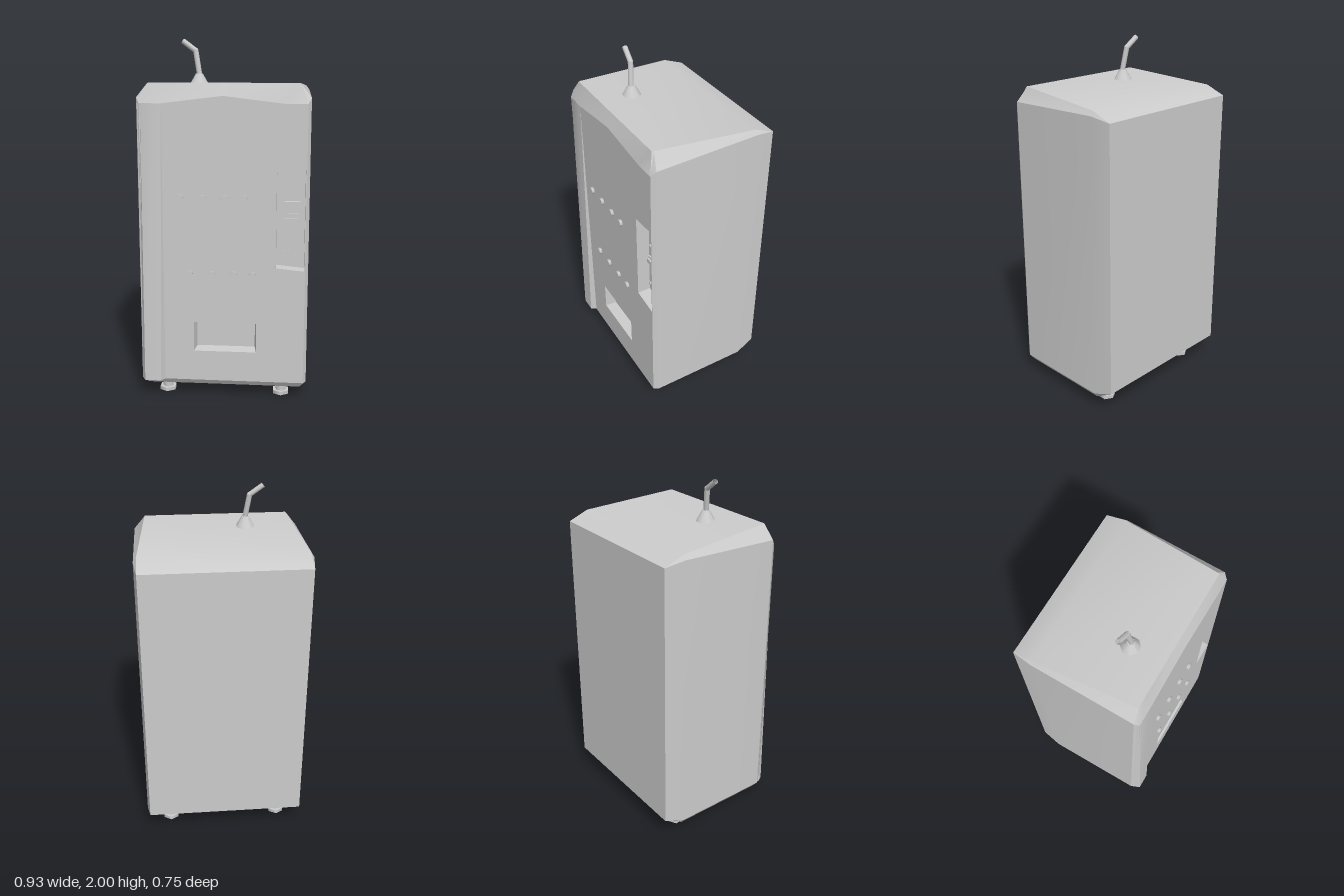
import * as THREE from 'three';
import { toCreasedNormals } from 'three/addons/utils/BufferGeometryUtils.js';

const grey = new THREE.MeshStandardMaterial({ color: 0xcccccc, side: THREE.DoubleSide });
const FRONT = 0.345; // z of the front panel

function add(parent, name, geometry, x = 0, y = 0, z = 0) {
  const mesh = new THREE.Mesh(geometry, grey);
  mesh.name = name;
  mesh.position.set(x, y, z);
  parent.add(mesh);
  return mesh;
}

// Geometry from four-cornered faces, corners counter-clockwise from outside
function fromQuads(quads, crease) {
  const pos = [];
  for (const [a, b, c, d] of quads) pos.push(...a, ...b, ...c, ...a, ...c, ...d);
  const g = new THREE.BufferGeometry();
  g.setAttribute('position', new THREE.Float32BufferAttribute(pos, 3));
  g.computeVertexNormals();
  return toCreasedNormals(g, crease);
}

const toShape = (pts) => new THREE.Shape(pts.map(([x, y]) => new THREE.Vector2(x, y)));
const mirror = ([x, y, z]) => [-x, y, z];

// Cabinet shell: stacked rings, given as right halves from front centre to back
function cabinetShell() {
  const halves = [
    [[0, 0.07, 0.325], [0.33, 0.07, 0.325], [0.43, 0.07, 0.325], [0.445, 0.07, 0.30], [0.445, 0.07, -0.26], [0.43, 0.07, -0.26]],
    [[0, 0.1, FRONT], [0.33, 0.1, FRONT], [0.45, 0.1, FRONT], [0.467, 0.1, 0.32], [0.467, 0.1, -0.26], [0.45, 0.14, -0.375]],
    [[0, 1.7, FRONT], [0.33, 1.66, FRONT], [0.45, 1.66, FRONT], [0.467, 1.69, 0.32], [0.467, 1.71, -0.26], [0.45, 1.69, -0.375]],
    [[0, 1.767, 0.31], [0.33, 1.767, 0.31], [0.405, 1.767, 0.31], [0.407, 1.767, 0.30], [0.45, 1.735, -0.26], [0.45, 1.69, -0.375]],
  ];
  const rings = halves.map((h) => [...h, ...h.slice(1).reverse().map(mirror)]);
  const quads = [];
  const n = rings[0].length;
  for (let r = 0; r < 3; r++) {
    for (let i = 0; i < n; i++) {
      if (r === 1 && (i < 2 || i >= n - 2)) continue; // left open for the front panel
      const j = (i + 1) % n;
      quads.push([rings[r][i], rings[r][j], rings[r + 1][j], rings[r + 1][i]]);
    }
  }
  // Floor and roof
  for (let i = 0; i < 5; i++) {
    const [b, t] = [halves[0], halves[3]];
    quads.push([mirror(b[i]), mirror(b[i + 1]), b[i + 1], b[i]]);
    quads.push([t[i], t[i + 1], mirror(t[i + 1]), mirror(t[i])]);
  }
  return fromQuads(quads, 0.5);
}

// Walls and back of a pocket sunk into the front panel
function addRecess(parent, name, outer, inner, depth) {
  const quads = outer.map((p, i) => {
    const j = (i + 1) % outer.length;
    const z = FRONT - depth;
    return [[...p, FRONT], [...outer[j], FRONT], [...inner[j], z], [...inner[i], z]];
  });
  add(parent, name + 'Walls', fromQuads(quads, 0.1));
  add(parent, name + 'Back', new THREE.ShapeGeometry(toShape(inner)), 0, 0, FRONT - depth);
}

const rect = (x0, y0, x1, y1) => [[x0, y0], [x1, y0], [x1, y1], [x0, y1]];

// Straight hollow rod between two points
function addRod(parent, name, a, b, radius) {
  const dir = new THREE.Vector3().subVectors(b, a);
  const rod = add(parent, name, new THREE.CylinderGeometry(radius, radius, dir.length(), 8, 1, true));
  rod.position.addVectors(a, b).multiplyScalar(0.5);
  rod.quaternion.setFromUnitVectors(new THREE.Vector3(0, 1, 0), dir.normalize());
}

export function createModel() {
  const model = new THREE.Group();
  model.name = 'vendingMachine';

  add(model, 'cabinet', cabinetShell());

  // Front panel with openings for the payment panel and the delivery tray
  const panel = [[0.29, 0.768], [0.445, 0.753], [0.445, 1.314], [0.29, 1.297]];
  const tray = rect(-0.165, 0.275, 0.185, 0.445);
  const front = toShape([[-0.45, 0.1], [0.45, 0.1], [0.45, 1.66], [0.33, 1.66], [0, 1.7], [-0.33, 1.66], [-0.45, 1.66]]);
  front.holes.push(toShape(panel), toShape(tray));
  add(model, 'frontPanel', new THREE.ShapeGeometry(front), 0, 0, FRONT);
  addRecess(model, 'paymentRecess', panel, panel, 0.075);
  addRecess(model, 'deliveryTray', tray, rect(-0.153, 0.284, 0.175, 0.435), 0.065);

  // Payment fittings
  const payment = new THREE.Group();
  payment.name = 'paymentFittings';
  payment.position.z = FRONT - 0.075;
  model.add(payment);
  add(payment, 'noteReader', new THREE.BoxGeometry(0.088, 0.09, 0.024), 0.375, 1.085, 0.012);
  add(payment, 'noteSlotLip', new THREE.BoxGeometry(0.07, 0.012, 0.01), 0.375, 1.06, 0.028);
  add(payment, 'noteReaderLedge', new THREE.BoxGeometry(0.088, 0.026, 0.036), 0.375, 1.027, 0.018);
  const knob = add(payment, 'returnKnob', new THREE.CylinderGeometry(0.008, 0.008, 0.02, 6), 0.325, 0.842, 0.01);
  knob.rotation.x = Math.PI / 2;
  add(payment, 'coinSlot', new THREE.BoxGeometry(0.006, 0.034, 0.01), 0.357, 0.842, 0.005);

  // Tapered column down one edge of the front
  const foot = [[-0.463, 0.1, 0.335], [-0.442, 0.1, 0.375], [-0.352, 0.1, 0.375], [-0.33, 0.1, FRONT]];
  const column = foot.slice(1).map((p, i) => {
    const up = ([x, , z]) => [x, 1.66, Math.min(z, FRONT + 0.001)];
    return [foot[i], p, up(p), up(foot[i])];
  });
  column.push([foot[3], foot[2], foot[1], foot[0]]);
  add(model, 'frontColumn', fromQuads(column, 0.5));

  // Two rows of selection buttons
  const rows = [[1.153, [-0.235, -0.113, 0.007, 0.113]], [0.728, [-0.187, -0.064, 0.056, 0.162]]];
  for (const [y, xs] of rows) {
    for (const x of xs) {
      const g = new THREE.CylinderGeometry(0.02, 0.02, 0.025, 6);
      g.rotateY(Math.PI / 6).rotateX(Math.PI / 2);
      add(model, 'button', g, x, y, FRONT + 0.0035);
    }
  }

  // Levelling feet
  for (const x of [-0.33, 0.325]) {
    for (const z of [0.25, -0.215]) {
      const leg = new THREE.Group();
      leg.name = 'foot';
      leg.position.set(x, 0, z);
      model.add(leg);
      add(leg, 'footBase', new THREE.CylinderGeometry(0.05, 0.05, 0.02, 6), 0, 0.01, 0);
      add(leg, 'footPost', new THREE.CylinderGeometry(0.03, 0.03, 0.055, 8), 0, 0.0455, 0);
    }
  }

  // Bent tube on a flared collar, on the roof
  const collar = new THREE.CylinderGeometry(0.02, 0.055, 0.06, 8);
  collar.rotateY(Math.PI / 8);
  add(model, 'tubeCollar', collar, -0.15, 1.782, 0.12);
  const base = new THREE.Vector3(-0.146, 1.79, 0.125);
  const bend = new THREE.Vector3(-0.17, 1.935, 0.11);
  const tip = new THREE.Vector3(-0.242, 1.988, 0.104);
  addRod(model, 'tubeLower', base, bend, 0.015);
  addRod(model, 'tubeUpper', bend, tip, 0.015);
  add(model, 'tubeBend', new THREE.SphereGeometry(0.0155, 8, 6), bend.x, bend.y, bend.z);

  return model;
}
